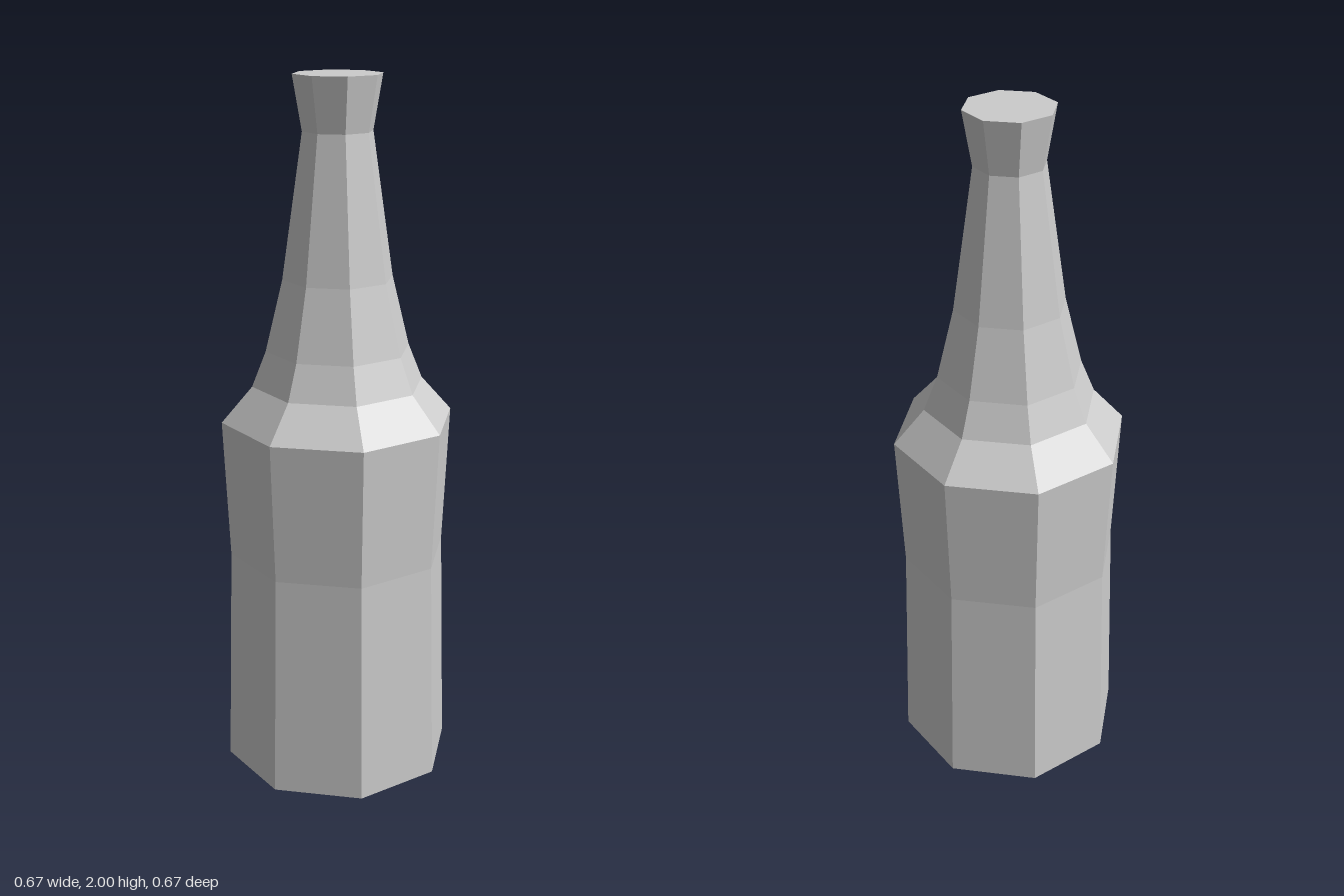
import * as THREE from 'three';

const SIDES = 8;

// Faceted ring of panels turned around the y axis from [radius, height] pairs
function turned(name, profile, material) {
  const points = profile.map(([r, y]) => new THREE.Vector2(r, y));
  const geometry = new THREE.LatheGeometry(points, SIDES).toNonIndexed();
  geometry.computeVertexNormals(); // one flat normal per facet
  const mesh = new THREE.Mesh(geometry, material);
  mesh.name = name;
  return mesh;
}

export function createModel() {
  const glass = new THREE.MeshStandardMaterial({ color: 0xcccccc });
  glass.name = 'grey glass';

  const bottle = new THREE.Group();
  bottle.name = 'bottle';
  bottle.add(
    // closed base and slightly waisted body
    turned('body', [[0, 0], [0.333, 0], [0.315, 0.65], [0.333, 1.05]], glass),
    // sloping shoulder
    turned('shoulder', [[0.333, 1.05], [0.245, 1.15], [0.205, 1.25]], glass),
    // tapering neck
    turned('neck', [[0.205, 1.25], [0.156, 1.45], [0.098, 1.85]], glass),
    // flared lip with a flat closed top
    turned('lip', [[0.098, 1.85], [0.124, 2], [0, 2]], glass),
  );
  return bottle;
}
